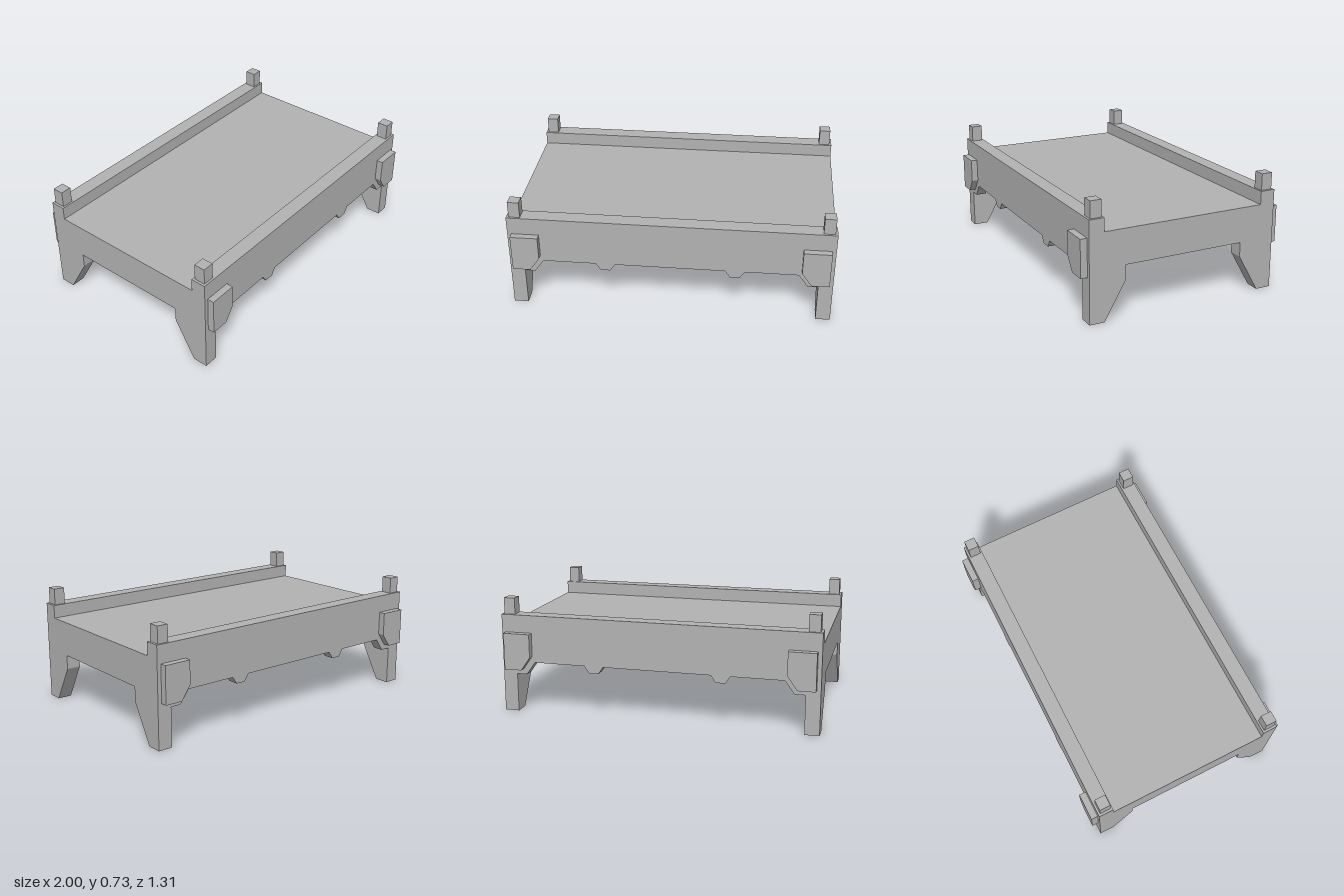
import * as THREE from 'three';

export function createModel() {
  const model = new THREE.Group();
  model.name = 'bedFrame';
  const grey = new THREE.MeshStandardMaterial({ color: 0xb2b2b2, flatShading: true });
  grey.name = 'plain grey';

  const add = (name, geometry) => {
    const mesh = new THREE.Mesh(geometry, grey);
    mesh.name = name;
    model.add(mesh);
  };
  const extrude = (points, depth) => new THREE.ExtrudeGeometry(
    new THREE.Shape(points.map(([a, b]) => new THREE.Vector2(a, b))),
    { depth, bevelEnabled: false });

  // Profile in x, y swept from z0 to z1
  const alongZ = (points, z0, z1) =>
    extrude(points, Math.abs(z1 - z0)).translate(0, 0, Math.min(z0, z1));
  // Profile in z, y swept from x0 to x1
  const alongX = (points, x0, x1) =>
    extrude(points.map(([z, y]) => [-z, y]), Math.abs(x1 - x0))
      .rotateY(Math.PI / 2).translate(Math.min(x0, x1), 0, 0);
  const mirror = (points, s) => points.map(([a, b]) => [a * s, b]);

  // Deck with a raised rail along the front and back
  add('deckAndRails', alongX([
    [-0.615, 0.325], [0.615, 0.325], [0.615, 0.625], [0.52, 0.625],
    [0.52, 0.543], [-0.52, 0.543], [-0.52, 0.625], [-0.615, 0.625],
  ], -1, 1));

  const leg = [[0.615, 0], [0.52, 0], [0.385, 0.235], [0.385, 0.325], [0.615, 0.325]];
  const brace = [[0.91, 0.245], [0.845, 0.245], [0.788, 0.325], [0.91, 0.325]];
  const tab = [[0.34, 0.325], [0.37, 0.28], [0.43, 0.28], [0.46, 0.325]];
  const plate = [[0.975, 0.28], [0.865, 0.28], [0.805, 0.365], [0.805, 0.513], [0.975, 0.513]];

  for (const sz of [1, -1]) {
    for (const sx of [1, -1]) {
      const corner = (sz > 0 ? 'front' : 'back') + (sx > 0 ? 'Left' : 'Right');
      // Tapered leg and the small brace beside it
      add(corner + 'Leg', alongX(mirror(leg, sz), sx * 0.91, sx));
      add(corner + 'Brace', alongZ(mirror(brace, sx), sz * 0.545, sz * 0.615));
      // Tab under the rail
      add(corner + 'Tab', alongZ(mirror(tab, sx), sz * 0.545, sz * 0.615));
      // Chamfered plate on the rail face
      add(corner + 'Plate', alongZ(mirror(plate, sx), sz * 0.615, sz * 0.657));
      // Short square post on top of the rail
      add(corner + 'Post', new THREE.BoxGeometry(0.07, 0.103, 0.07)
        .translate(sx * 0.95, 0.6765, sz * 0.567));
    }
  }
  return model;
}
